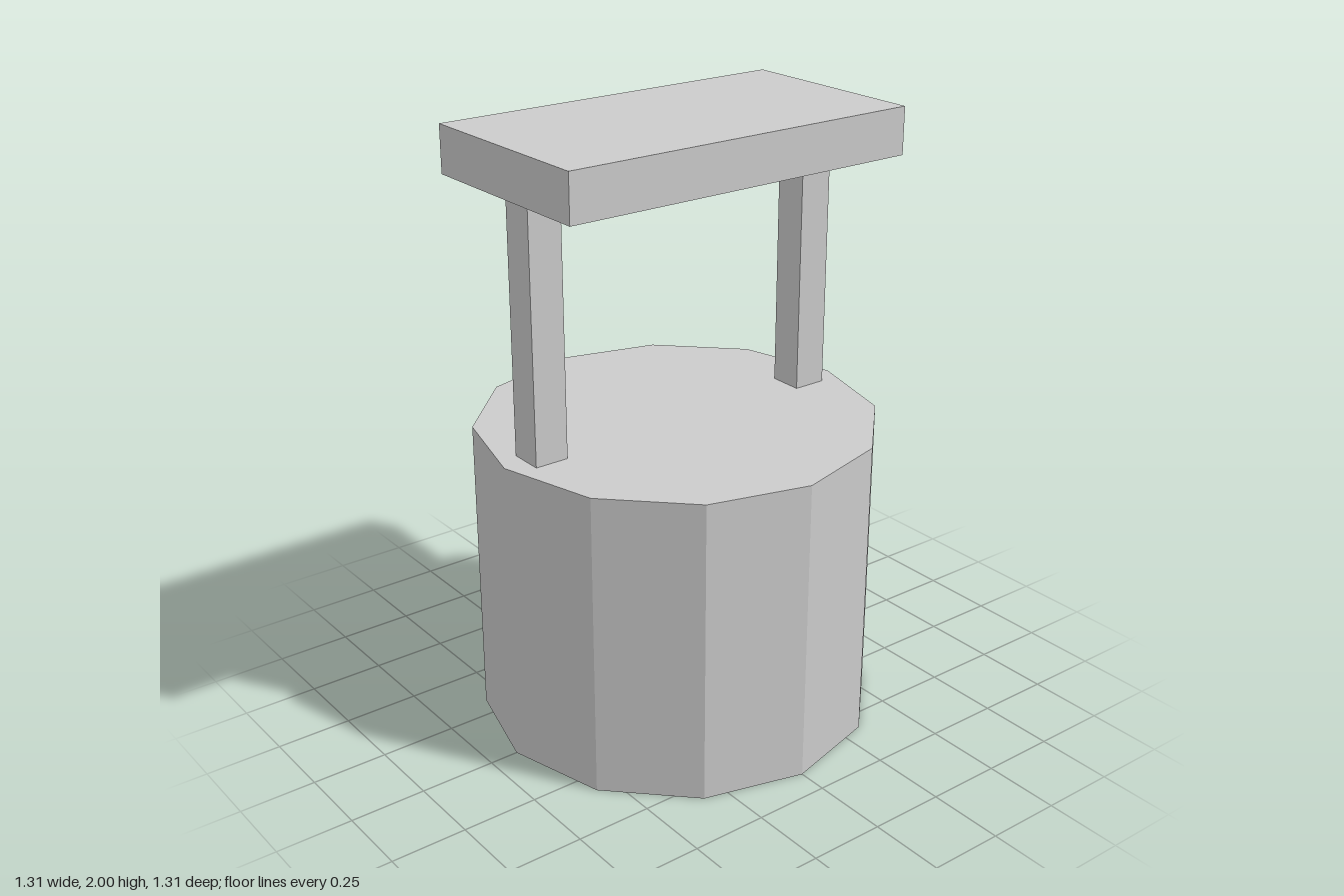
import * as THREE from 'three';

export function createModel() {
  const model = new THREE.Group();
  model.name = 'well';
  const material = new THREE.MeshStandardMaterial({ color: 0xcccccc, flatShading: true });

  const wallTop = 1.016;
  const roofBottom = 1.847;

  // Adds a mesh whose underside rests at the given height
  function addPart(name, geometry, x, bottom) {
    const mesh = new THREE.Mesh(geometry, material);
    mesh.name = name;
    mesh.position.set(x, bottom + geometry.parameters.height / 2, 0);
    model.add(mesh);
  }

  // Twelve-sided well body with corners on the axes
  addPart('wellBase', new THREE.CylinderGeometry(0.655, 0.655, wallTop, 12), 0, 0);

  // Two square posts carrying the roof
  for (const [name, side] of [['leftPost', 1], ['rightPost', -1]]) {
    addPart(name, new THREE.BoxGeometry(0.114, roofBottom - wallTop, 0.114), side * 0.52, wallTop);
  }

  // Flat slab roof
  addPart('roof', new THREE.BoxGeometry(1.244, 2 - roofBottom, 0.675), 0, roofBottom);

  return model;
}
